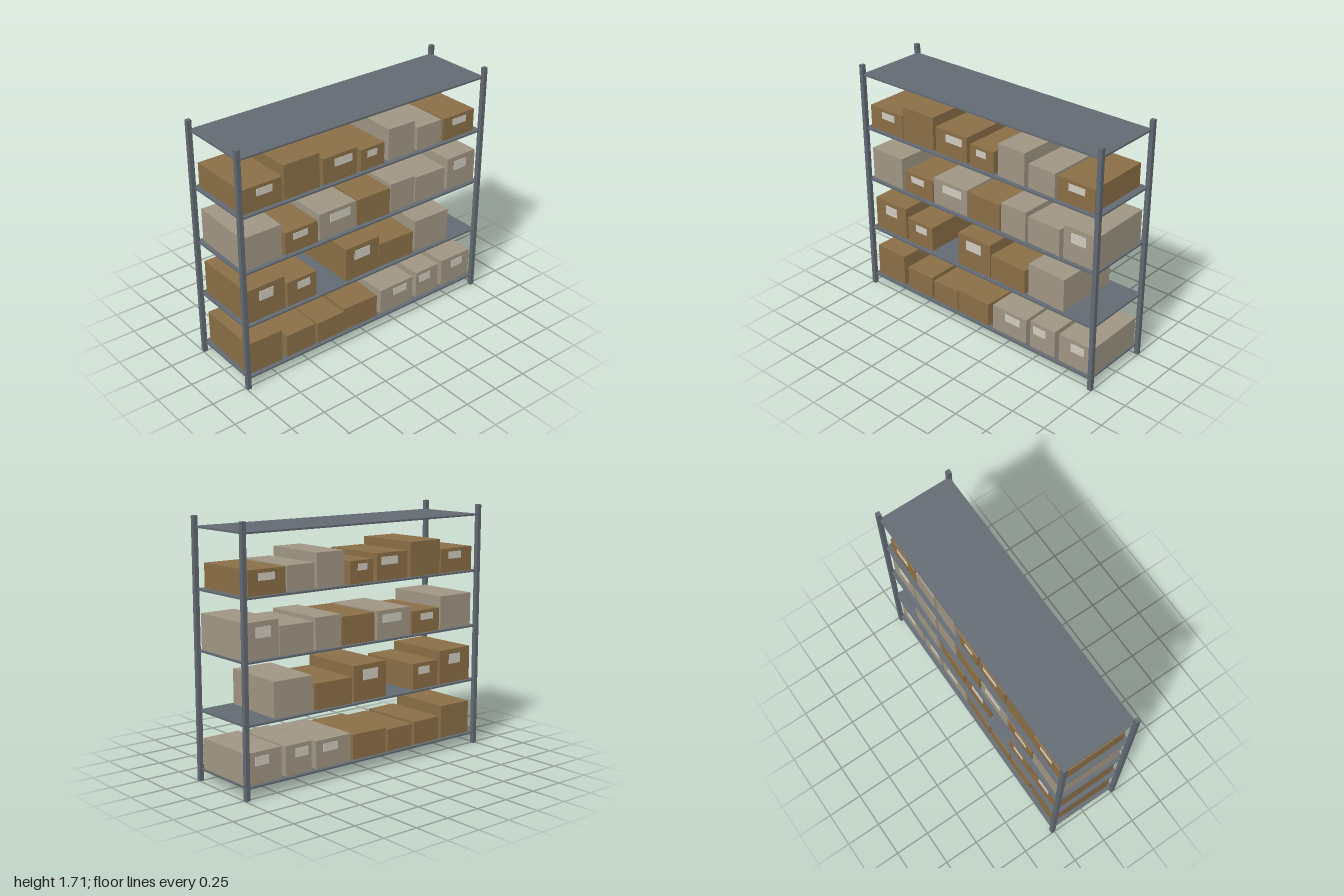
import * as THREE from 'three';

const material = (name, color) => {
  const m = new THREE.MeshStandardMaterial({ color });
  m.name = name;
  return m;
};

const addBox = (parent, name, mat, size, pos) => {
  const mesh = new THREE.Mesh(new THREE.BoxGeometry(...size), mat);
  mesh.name = name;
  mesh.position.set(...pos);
  parent.add(mesh);
};

export function createModel() {
  const steel = material('steel', 0x636a72);
  const brown = material('brownCardboard', 0x8b6f47);
  const grey = material('greyCardboard', 0xa09684);
  const paper = material('labelPaper', 0xd0ccc0);

  const rack = new THREE.Group();
  rack.name = 'storageRack';

  // Four corner posts
  for (const x of [-0.985, 0.985]) {
    for (const z of [-0.26, 0.26]) {
      addBox(rack, 'post', steel, [0.03, 1.705, 0.03], [x, 0.8525, z]);
    }
  }

  // Five evenly spaced shelves
  const thickness = 0.012;
  const shelfY = (i) => 0.075 + i * 0.39;
  for (let i = 0; i < 5; i++) {
    addBox(rack, 'shelf', steel, [1.965, thickness, 0.525], [0, shelfY(i), 0]);
  }

  // One carton between two x positions; labels sit high on its front and back
  const depth = 0.468;
  const addCarton = (shelf, mat, left, right, height, { yaw = 0.006, label }) => {
    const carton = new THREE.Group();
    carton.name = 'carton';
    carton.position.set((left + right) / 2, shelfY(shelf) + thickness / 2, 0);
    carton.rotation.y = yaw;
    const width = right - left - depth * Math.abs(Math.sin(yaw));
    addBox(carton, 'cartonBody', mat, [width, height, depth], [0, height / 2, 0]);
    if (label) {
      const [offset, labelWidth] = label;
      for (const side of [-1, 1]) {
        addBox(carton, 'cartonLabel', paper, [labelWidth, height * 0.29, 0.004],
          [offset, height * 0.71, side * (depth / 2 + 0.001)]);
      }
    }
    rack.add(carton);
  };

  // Bottom shelf
  addCarton(0, brown, -0.96, -0.687, 0.23, { yaw: -0.02 });
  addCarton(0, brown, -0.66, -0.425, 0.163, { yaw: 0.008 });
  addCarton(0, brown, -0.408, -0.184, 0.153, { yaw: 0.005 });
  addCarton(0, brown, -0.179, 0.117, 0.17, { yaw: -0.033 });
  addCarton(0, grey, 0.138, 0.43, 0.186, { label: [0.027, 0.123] });
  addCarton(0, grey, 0.463, 0.67, 0.2, { label: [-0.025, 0.102] });
  addCarton(0, grey, 0.703, 0.974, 0.206, { label: [0.014, 0.105] });

  // Second shelf, with a gap and a free right end
  addCarton(1, brown, -0.955, -0.66, 0.238, { label: [0.003, 0.108] });
  addCarton(1, brown, -0.643, -0.41, 0.18, { label: [0.013, 0.101] });
  addCarton(1, brown, -0.168, 0.115, 0.243, { label: [-0.003, 0.129] });
  addCarton(1, brown, 0.12, 0.43, 0.173, { yaw: -0.03 });
  addCarton(1, grey, 0.44, 0.75, 0.235, { yaw: -0.033 });

  // Third shelf
  addCarton(2, grey, -0.96, -0.666, 0.23, { yaw: -0.02 });
  addCarton(2, brown, -0.65, -0.393, 0.155, { label: [-0.01, 0.117] });
  addCarton(2, grey, -0.382, -0.083, 0.192, { label: [0.018, 0.166] });
  addCarton(2, brown, -0.072, 0.21, 0.188, { yaw: -0.022 });
  addCarton(2, grey, 0.211, 0.424, 0.208, { yaw: -0.022 });
  addCarton(2, grey, 0.43, 0.703, 0.187, { yaw: -0.035 });
  addCarton(2, grey, 0.713, 0.97, 0.235, { label: [-0.012, 0.112] });

  // Fourth shelf
  addCarton(3, brown, -0.954, -0.655, 0.166, { label: [0.016, 0.117] });
  addCarton(3, brown, -0.65, -0.372, 0.235, { yaw: 0.01 });
  addCarton(3, brown, -0.35, -0.078, 0.182, { label: [0.024, 0.14] });
  addCarton(3, brown, -0.05, 0.147, 0.15, { label: [-0.005, 0.08] });
  addCarton(3, grey, 0.185, 0.41, 0.225, { yaw: -0.02 });
  addCarton(3, grey, 0.43, 0.644, 0.165, { yaw: -0.012 });
  addCarton(3, brown, 0.655, 0.938, 0.16, { label: [0.005, 0.123] });

  return rack;
}
